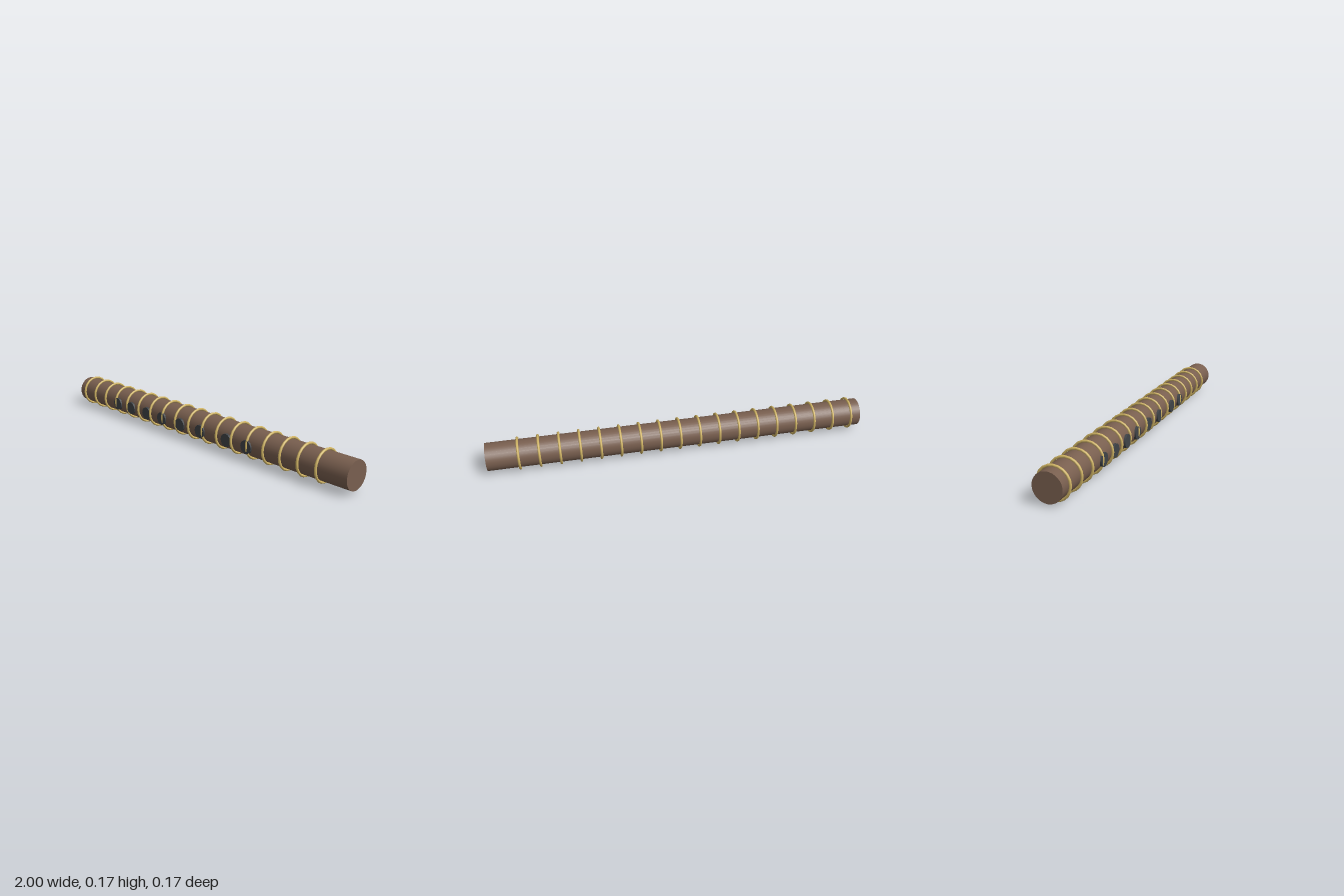
import * as THREE from 'three';

const AXIS_Y = 0.088;

export function createModel() {
  const group = new THREE.Group();
  const wood = new THREE.MeshStandardMaterial({ color: 0x795f4f });
  const gold = new THREE.MeshStandardMaterial({ color: 0xd0b464 });
  const dark = new THREE.MeshStandardMaterial({ color: 0x404448 });

  const add = (name, geometry, material, x, y, z) => {
    const mesh = new THREE.Mesh(geometry, material);
    mesh.name = name;
    mesh.position.set(x, y, z);
    group.add(mesh);
  };

  // Long round body lying along x
  const body = new THREE.CylinderGeometry(0.0725, 0.0725, 2, 32).rotateZ(Math.PI / 2);
  add('body', body, wood, 0, AXIS_Y, 0);

  // Evenly spaced binding rings
  const ring = new THREE.TorusGeometry(0.0793, 0.0065, 8, 20).rotateY(Math.PI / 2);
  for (let i = 0; i < 18; i++) {
    add(`bindingRing${i + 1}`, ring, gold, -0.945 + i * 0.1048, AXIS_Y, 0);
  }

  // Finger holes: dark round pads along the front
  const hole = new THREE.CylinderGeometry(0.034, 0.034, 0.03, 16).rotateX(Math.PI / 2);
  [-0.615, -0.49, -0.35, -0.22, -0.07, 0.085, 0.277, 0.413].forEach((x, i) => {
    add(`fingerHole${i + 1}`, hole, dark, x, 0.083, 0.065);
  });

  return group;
}
